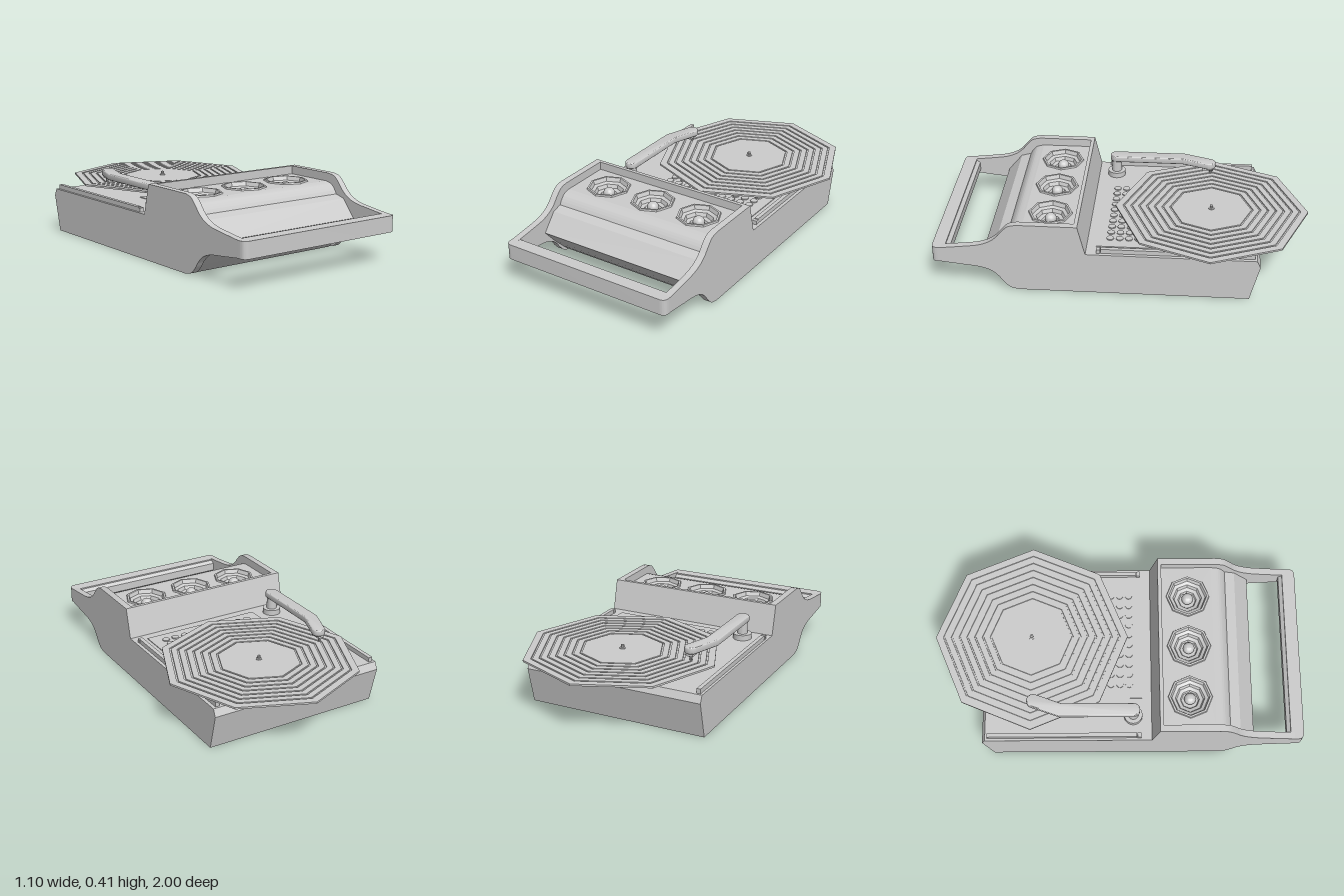
import * as THREE from 'three';
import { toCreasedNormals } from 'three/addons/utils/BufferGeometryUtils.js';

const X0 = -0.555, X1 = 0.44, WALL = 0.037, MID = (X0 + X1) / 2;
const V = (x, y) => new THREE.Vector2(x, y);

export function createModel() {
  const model = new THREE.Group();
  const material = new THREE.MeshStandardMaterial({ color: 0xcccccc, side: THREE.DoubleSide });

  function add(name, geometry, x = 0, y = 0, z = 0, parent = model) {
    const mesh = new THREE.Mesh(toCreasedNormals(geometry, 0.5), material);
    mesh.name = name;
    mesh.position.set(x, y, z);
    parent.add(mesh);
    return mesh;
  }
  // Side profile in (z, y), extruded from x = a to x = b
  function sideExtrude(shape, a, b) {
    return new THREE.ExtrudeGeometry(shape, { depth: b - a, bevelEnabled: false, curveSegments: 24 })
      .rotateY(-Math.PI / 2).translate(b, 0, 0);
  }
  // Plan outline in (x, -z), extruded from y = a to y = b
  function planExtrude(shape, a, b) {
    return new THREE.ExtrudeGeometry(shape, { depth: b - a, bevelEnabled: false, curveSegments: 10 })
      .rotateX(-Math.PI / 2).translate(0, a, 0);
  }
  const lathe = (pts, sides = 8) => new THREE.LatheGeometry(pts.map(p => V(p[0], p[1])), sides);
  const polygon = pts => new THREE.Shape(pts.map(p => V(p[0], p[1])));

  // Deck with sloped back and raised step behind the controls
  add('deckBody', sideExtrude(polygon([
    [-0.69, 0], [0.3, 0], [0.3, 0.3], [0.24, 0.3], [0.24, 0.405], [0.22, 0.405],
    [0.18, 0.24], [-0.722, 0.24], [-0.74, 0.2]]), X0, X1));

  // Curved side walls that run forward into the handle
  const wall = new THREE.Shape();
  wall.moveTo(0.24, 0);
  wall.lineTo(0.54, 0);
  wall.splineThru([V(0.585, 0.012), V(0.62, 0.045), V(0.65, 0.085), V(0.69, 0.117), V(0.75, 0.136), V(0.84, 0.147), V(0.95, 0.16)]);
  wall.lineTo(0.95, 0.247);
  wall.splineThru([V(0.84, 0.26), V(0.75, 0.273), V(0.69, 0.295), V(0.65, 0.325), V(0.62, 0.36), V(0.585, 0.393), V(0.54, 0.405)]);
  wall.lineTo(0.24, 0.405);
  add('rightWall', sideExtrude(wall, X0, X0 + WALL));
  add('leftWall', sideExtrude(wall, X1 - WALL, X1));

  // Recessed front body between the walls
  const inner = new THREE.Shape();
  inner.moveTo(0.24, 0);
  inner.lineTo(0.55, 0);
  inner.lineTo(0.6, 0.045);
  inner.lineTo(0.66, 0.105);
  inner.lineTo(0.735, 0.19);
  inner.lineTo(0.655, 0.285);
  inner.lineTo(0.6, 0.3);
  inner.splineThru([V(0.585, 0.325), V(0.56, 0.349), V(0.52, 0.36)]);
  inner.lineTo(0.52, 0.28);
  inner.lineTo(0.24, 0.28);
  add('frontBody', sideExtrude(inner, X0 + WALL, X1 - WALL));

  // Control panel with octagonal openings
  const knobX = [-0.35, -0.06, 0.23], knobZ = 0.385;
  const panel = polygon([[X0 + WALL, -0.52], [X1 - WALL, -0.52], [X1 - WALL, -0.24], [X0 + WALL, -0.24]]);
  for (const x of knobX) {
    const hole = new THREE.Path();
    hole.setFromPoints(Array.from({ length: 8 }, (_, i) =>
      V(x + 0.108 * Math.sin(i * Math.PI / 4), -knobZ + 0.108 * Math.cos(i * Math.PI / 4))));
    panel.holes.push(hole);
  }
  add('controlPanel', planExtrude(panel, 0.28, 0.36));

  // Sunken dials with round centre buttons
  for (const x of knobX) {
    const dial = new THREE.Group();
    dial.name = 'dial';
    dial.position.set(x, 0.36, knobZ);
    model.add(dial);
    add('dialBowl', lathe([[0.12, 0], [0.117, 0.008], [0.106, 0.008], [0.098, -0.014], [0.08, -0.022],
      [0.072, -0.042], [0.052, -0.048], [0.046, -0.06], [0, -0.06]]), 0, 0, 0, dial);
    add('dialButton', new THREE.SphereGeometry(0.032, 20, 12), 0, -0.035, 0, dial);
  }

  // Carry handle bar with rounded front corners
  const r = 0.035, bar = new THREE.Shape();
  bar.moveTo(X0, -0.93);
  bar.lineTo(X0, -1 + r);
  bar.quadraticCurveTo(X0, -1, X0 + r, -1);
  bar.lineTo(X1 - r, -1);
  bar.quadraticCurveTo(X1, -1, X1, -1 + r);
  bar.lineTo(X1, -0.93);
  add('handleBar', planExtrude(bar, 0.16, 0.247));
  add('handleInnerLip', sideExtrude(polygon([[0.91, 0.18], [0.94, 0.16], [0.94, 0.247], [0.91, 0.225]]),
    X0 + WALL, X1 - WALL));

  // Rails along the deck edges, with end stops
  for (const x of [MID - 0.473, MID + 0.468]) {
    add('deckRail', new THREE.BoxGeometry(0.022, 0.025, 0.81), x, 0.2525, -0.305);
    add('railStop', new THREE.BoxGeometry(0.026, 0.022, 0.02), x, 0.251, 0.113);
  }

  // Speaker grille with rows of round studs
  add('grillePlate', new THREE.BoxGeometry(0.68, 0.006, 0.34), 0.02, 0.241, -0.04);
  for (let row = 0; row < 5; row++) {
    for (let col = 0; col < 10; col++) {
      add('grilleStud', new THREE.CylinderGeometry(0.02, 0.02, 0.008, 12),
        -0.24 + col * 0.058, 0.246, 0.06 - row * 0.05);
    }
  }

  // Turntable: platter, hub, grooved eight-sided record and spindle
  const turntable = new THREE.Group();
  turntable.name = 'turntable';
  turntable.position.set(0.02, 0, -0.475);
  model.add(turntable);
  add('platter', new THREE.CylinderGeometry(0.23, 0.23, 0.006, 32), 0, 0.265, 0, turntable);
  add('hub', new THREE.CylinderGeometry(0.085, 0.085, 0.046, 24), 0, 0.261, 0, turntable);
  const grooves = [[0, 0.286], [0.528, 0.286], [0.528, 0.296]];
  for (let i = 0; i < 7; i++) {
    const g = 0.483 - i * 0.043;
    grooves.push([g + 0.005, 0.296], [g + 0.004, 0.291], [g - 0.004, 0.291], [g - 0.005, 0.296]);
  }
  grooves.push([0, 0.296]);
  add('record', lathe(grooves), 0, 0, 0, turntable);
  add('spindle', lathe([[0.016, 0.29], [0.016, 0.3], [0.009, 0.302], [0.009, 0.316], [0, 0.32]], 10), 0, 0, 0, turntable);

  // Tone arm: bent bar with rounded ends on a pivot post
  const tonearm = new THREE.Group();
  tonearm.name = 'toneArm';
  model.add(tonearm);
  const w = 0.036, tilt = 0.31;
  const dx = w * Math.cos(tilt), dy = w * Math.sin(tilt);
  const arm = new THREE.Shape();
  arm.moveTo(-0.42 + w, -0.08);
  arm.lineTo(-0.42 + w, 0.304);
  arm.lineTo(-0.368 + dx, 0.457 - dy);
  arm.absarc(-0.368, 0.457, w, -tilt, Math.PI - tilt, false);
  arm.lineTo(-0.42 - w, 0.316);
  arm.lineTo(-0.42 - w, -0.08);
  arm.absarc(-0.42, -0.08, w, Math.PI, Math.PI * 2, false);
  const armGeometry = new THREE.ExtrudeGeometry(arm, {
    depth: 0.02, bevelEnabled: true, bevelSize: 0.008, bevelThickness: 0.008,
    bevelOffset: -0.008, bevelSegments: 3, curveSegments: 12,
  }).rotateX(-Math.PI / 2);
  add('armBar', armGeometry, 0, 0.344, 0, tonearm);
  add('armBase', new THREE.CylinderGeometry(0.05, 0.05, 0.03, 20), -0.42, 0.255, 0.08, tonearm);
  add('armPost', new THREE.CylinderGeometry(0.028, 0.028, 0.08, 20), -0.42, 0.305, 0.08, tonearm);
  add('cartridge', new THREE.BoxGeometry(0.035, 0.016, 0.06), -0.37, 0.329, -0.45, tonearm);
  add('stylus', new THREE.CylinderGeometry(0.01, 0.005, 0.03, 10), -0.37, 0.309, -0.465, tonearm);

  return model;
}
